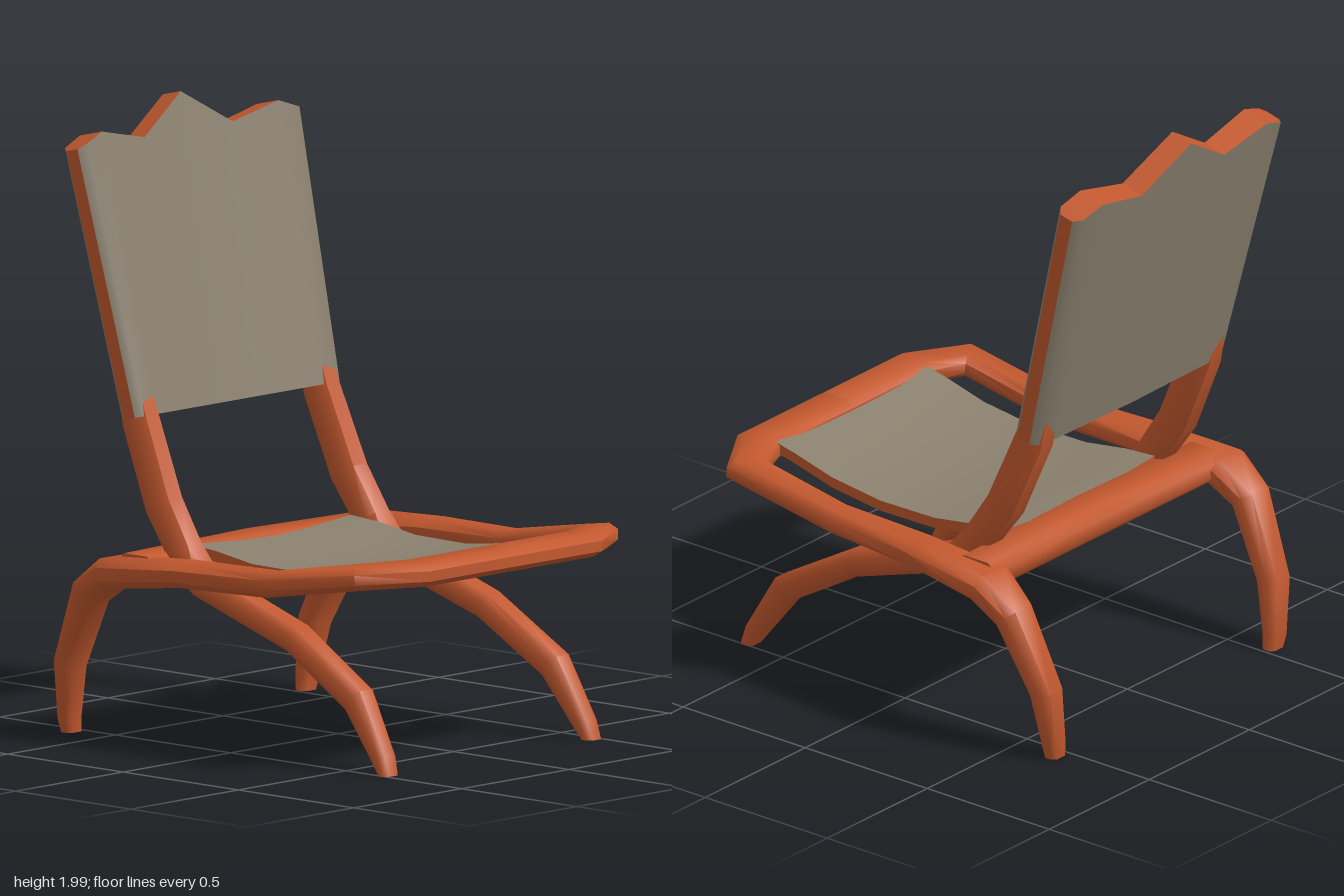
import * as THREE from 'three';
import { toCreasedNormals } from 'three/addons/utils/BufferGeometryUtils.js';

const wood = new THREE.MeshStandardMaterial({ color: 0xc2582e });
wood.name = 'orange wood';
const fabric = new THREE.MeshStandardMaterial({ color: 0x8a806e });
fabric.name = 'taupe fabric';

function meshFrom(tris, material, name, crease = 0.9) {
  const geo = new THREE.BufferGeometry();
  geo.setAttribute('position', new THREE.Float32BufferAttribute(tris.flatMap((v) => [v.x, v.y, v.z]), 3));
  const mesh = new THREE.Mesh(toCreasedNormals(geo, crease), material);
  mesh.name = name;
  return mesh;
}

const quad = (out, a, b, c, d) => out.push(a, b, c, a, c, d);

// Soft octagonal section, in half widths
const SECTION = [[1, -0.45], [1, 0.45], [0.6, 1], [-0.6, 1], [-1, 0.45], [-1, -0.45], [-0.6, -1], [0.6, -1]];

// Sweeps the section along stations [x, y, z, width, height]; mirror = -1 for the right side
function sweep(stations, name, mirror = 1) {
  const pts = stations.map(([x, y, z]) => new THREE.Vector3(x * mirror, y, z));
  const up = new THREE.Vector3(0, 1, 0);
  const rings = pts.map((p, i) => {
    const t = new THREE.Vector3();
    if (i > 0) t.add(p.clone().sub(pts[i - 1]).normalize());
    if (i < pts.length - 1) t.add(pts[i + 1].clone().sub(p).normalize());
    t.normalize();
    if (i === 0 && p.y < 0.05) t.copy(up); // feet are cut level
    const s = Math.abs(t.x) > 0.3 ? up.clone().cross(t) : new THREE.Vector3(1, 0, 0);
    s.addScaledVector(t, -s.dot(t)).normalize();
    const n = t.clone().cross(s);
    const [, , , w, h] = stations[i];
    return SECTION.map(([a, b]) => p.clone().addScaledVector(s, a * w / 2).addScaledVector(n, b * h / 2));
  });
  const tris = [];
  const m = SECTION.length;
  for (let i = 0; i < rings.length - 1; i++) {
    for (let k = 0; k < m; k++) {
      const l = (k + 1) % m;
      quad(tris, rings[i][k], rings[i][l], rings[i + 1][l], rings[i + 1][k]);
    }
  }
  const last = rings[rings.length - 1];
  for (let k = 1; k < m - 1; k++) {
    tris.push(rings[0][0], rings[0][k + 1], rings[0][k], last[0], last[k], last[k + 1]);
  }
  return meshFrom(tris, wood, name);
}

// Slab with two fabric faces and a wooden rim; point(c, r, side) gives its grid
function panel(cols, rows, point, name) {
  const faces = [], rim = [], edge = [];
  for (let c = 0; c < cols; c++) {
    for (let r = 0; r < rows; r++) {
      quad(faces, point(c, r, 0), point(c + 1, r, 0), point(c + 1, r + 1, 0), point(c, r + 1, 0));
      quad(faces, point(c, r, 1), point(c, r + 1, 1), point(c + 1, r + 1, 1), point(c + 1, r, 1));
    }
  }
  for (let c = 0; c < cols; c++) edge.push([c, 0]);
  for (let r = 0; r < rows; r++) edge.push([cols, r]);
  for (let c = cols; c > 0; c--) edge.push([c, rows]);
  for (let r = rows; r > 0; r--) edge.push([0, r]);
  edge.forEach(([c, r], i) => {
    const [d, q] = edge[(i + 1) % edge.length];
    quad(rim, point(c, r, 0), point(c, r, 1), point(d, q, 1), point(d, q, 0));
  });
  const group = new THREE.Group();
  group.name = name;
  group.add(meshFrom(faces, fabric, name + 'Fabric'), meshFrom(rim, wood, name + 'Edge', 0.5));
  return group;
}

// Rear foot, up to the rail, forward and round to the middle of the front bar
const RAIL = [
  [0.545, 0.005, -0.65, 0.068, 0.05],
  [0.552, 0.05, -0.651, 0.078, 0.06],
  [0.568, 0.23, -0.633, 0.105, 0.085],
  [0.592, 0.475, -0.52, 0.135, 0.1],
  [0.59, 0.55, -0.42, 0.175, 0.1],
  [0.57, 0.575, -0.12, 0.145, 0.08],
  [0.552, 0.58, 0.23, 0.107, 0.08],
  [0.552, 0.645, 0.605, 0.14, 0.075],
  [0.38, 0.648, 0.695, 0.155, 0.075],
  [0, 0.648, 0.695, 0.15, 0.075],
];

// Front foot, back under the seat and up into the back post
const LEG = [
  [0.472, 0.005, 0.655, 0.066, 0.05],
  [0.468, 0.05, 0.635, 0.078, 0.06],
  [0.456, 0.23, 0.515, 0.098, 0.09],
  [0.444, 0.395, 0.235, 0.105, 0.085],
  [0.436, 0.525, -0.17, 0.108, 0.09],
  [0.435, 0.61, -0.255, 0.108, 0.1],
  [0.43, 0.755, -0.355, 0.105, 0.11],
  [0.42, 1.01, -0.464, 0.1, 0.108],
  [0.42, 1.1, -0.488, 0.09, 0.09],
];

// Backrest columns: [x at top, top height, front depth, back depth]
const HALF = [
  [0, 2.0, 0, 0.115], [0.205, 1.88, 0, 0.112], [0.41, 1.92, 0, 0.11],
  [0.495, 1.89, 0.007, 0.104], [0.517, 1.88, 0.03, 0.08],
];
const BACK = [...HALF.slice(1).reverse().map(([x, ...rest]) => [-x, ...rest]), ...HALF];

function backPoint(c, r, side) {
  const [x, top, d0, d1] = BACK[c];
  const u = x / 0.517;
  const y = r ? top : 1.035;
  const depth = side ? d1 : d0 + 0.035 * (1 - u * u);
  const z = -0.41 - (y - 1.035) * 0.249;
  return new THREE.Vector3(x * (r ? 1 : 0.92), y - depth * 0.24, z - depth * 0.97);
}

// Seat sling profile, front to back: [z, y]
const SLING = [[0.655, 0.668], [0.55, 0.645], [0.4, 0.605], [0.2, 0.58], [-0.02, 0.583], [-0.18, 0.607], [-0.3, 0.615]];

function seatPoint(c, r, side) {
  const u = c / 3 - 1;
  const [z, y] = SLING[r];
  const sag = 0.018 * (1 - u * u);
  return new THREE.Vector3(u * 0.38, y + 0.012 - sag - side * 0.035, z - (r === 0 ? sag : 0));
}

export function createModel() {
  const model = new THREE.Group();
  model.name = 'loungeChair';
  for (const [side, label] of [[1, 'left'], [-1, 'right']]) {
    model.add(sweep(RAIL, label + 'SeatRailAndRearLeg', side));
    model.add(sweep(LEG, label + 'FrontLegAndBackPost', side));
  }
  // Cross bar joining the rails behind the seat
  model.add(sweep([[-0.57, 0.56, -0.347, 0.165, 0.1], [0, 0.565, -0.347, 0.165, 0.11], [0.57, 0.56, -0.347, 0.165, 0.1]], 'rearCrossBar'));
  model.add(panel(BACK.length - 1, 1, backPoint, 'backrest'));
  model.add(panel(6, SLING.length - 1, seatPoint, 'seat'));
  return model;
}
